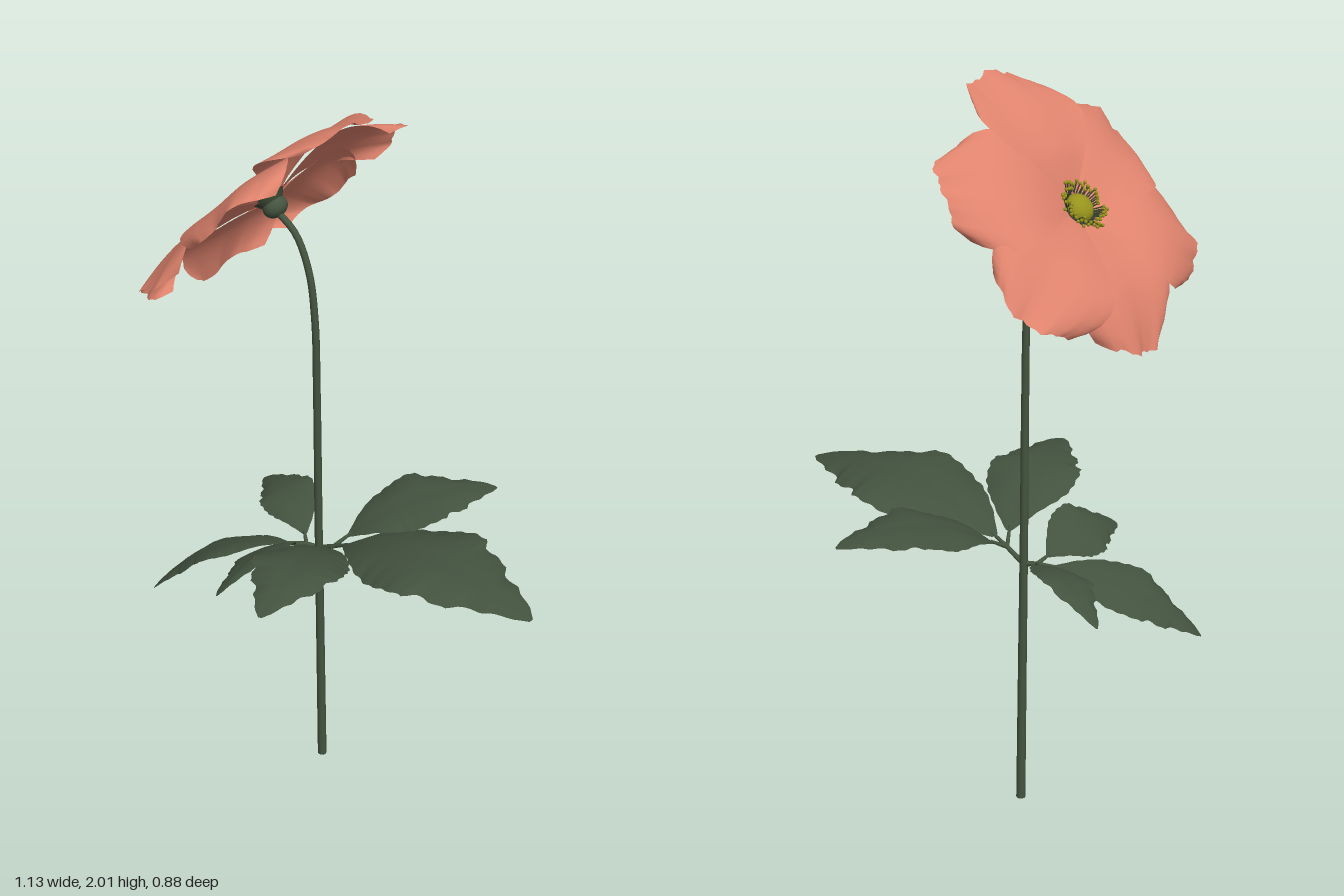
import * as THREE from 'three';
import { mergeGeometries } from 'three/addons/utils/BufferGeometryUtils.js';

const V = (x, y, z) => new THREE.Vector3(x, y, z);

function material(name, color, open = false) {
  const m = new THREE.MeshStandardMaterial({ color });
  m.name = name;
  if (open) m.side = THREE.DoubleSide;
  return m;
}

function mesh(name, geometry, mat) {
  const m = new THREE.Mesh(geometry, mat);
  m.name = name;
  return m;
}

// Linear lookup in a list of [t, value] pairs
function lookup(table, t) {
  for (let i = 1; i < table.length; i++) {
    const [t0, v0] = table[i - 1], [t1, v1] = table[i];
    if (t <= t1) return v0 + (v1 - v0) * (t - t0) / (t1 - t0);
  }
  return table[table.length - 1][1];
}

// Bends a flat grid by rule(s, t): s runs -1..1 across, t runs 0..1 along
function sheet(cols, rows, rule) {
  const g = new THREE.PlaneGeometry(2, 1, cols, rows);
  const p = g.attributes.position;
  for (let i = 0; i < p.count; i++) {
    const v = rule(p.getX(i), p.getY(i) + 0.5);
    p.setXYZ(i, v.x, v.y, v.z);
  }
  g.computeVertexNormals();
  return g;
}

// Tube that tapers from radius r0 to r1
function taperedTube(points, r0, r1, segments = 40) {
  const curve = new THREE.CatmullRomCurve3(points);
  const g = new THREE.TubeGeometry(curve, segments, 1, 10);
  const p = g.attributes.position, v = V(0, 0, 0);
  for (let i = 0; i < p.count; i++) {
    const t = Math.floor(i / 11) / segments;
    const c = curve.getPointAt(t);
    v.fromBufferAttribute(p, i).sub(c).multiplyScalar(r0 + (r1 - r0) * t).add(c);
    p.setXYZ(i, v.x, v.y, v.z);
  }
  return g;
}

const LEAF_WIDTH = [[0, 0.06], [0.1, 0.36], [0.25, 0.74], [0.38, 0.94], [0.5, 1], [0.59, 0.98], [0.62, 0.79],
  [0.68, 0.78], [0.75, 0.7], [0.78, 0.5], [0.86, 0.43], [0.89, 0.33], [0.96, 0.19], [1, 0.04]];
const PETAL_WIDTH = [[0, 0.012], [0.15, 0.042], [0.3, 0.092], [0.45, 0.138], [0.58, 0.163], [0.7, 0.17],
  [0.82, 0.163], [0.92, 0.146], [1, 0.122]];

// Toothed leaflet along a bent midrib, rolled about it by an angle in degrees
function leafGeometry(base, bend, tip, halfWidth, roll) {
  const rib = new THREE.QuadraticBezierCurve3(base, bend, tip);
  const up = V(0, 1, 0);
  return sheet(12, 80, (s, t) => {
    const forward = rib.getTangent(t);
    const side = forward.clone().cross(up).normalize().applyAxisAngle(forward, THREE.MathUtils.degToRad(roll));
    const normal = side.clone().cross(forward);
    const w = halfWidth * lookup(LEAF_WIDTH, t) * (1 + 0.02 * Math.sin(t * 75));
    const lift = halfWidth * (0.1 * Math.abs(s) - 0.22 * s * s + 0.05 * Math.sin(t * 14) * s * s) * Math.sin(Math.PI * t);
    return rib.getPoint(t).addScaledVector(side, s * w).addScaledVector(normal, lift);
  });
}

// Petal along +x, with a crowned midline, drooping tip, cupped sides and ruffled rim
function petalGeometry(length, lift, cup, phase) {
  return sheet(20, 28, (s, t) => {
    const rim = t ** 5 * (0.006 * Math.sin(s * 9 + phase) + 0.004 * Math.sin(s * 21 + phase * 2));
    const x = length * t * (1 - 0.12 * s ** 4 * t - 0.07 * s * s * t) + rim;
    const arch = 0.05 * Math.sin(Math.PI * t) - 0.012 * t ** 4;
    const ruffle = 0.011 * t * t * Math.sin(s * 4 + phase) * (1 - 0.5 * s * s);
    const y = arch + ruffle + cup * s * s * t * t + lift * Math.min(1, t * 3);
    return V(x, y, s * lookup(PETAL_WIDTH, t));
  });
}

export function createModel() {
  const model = new THREE.Group();
  model.name = 'flower';
  const stemGreen = material('stem green', 0x44543f);
  const leafGreen = material('leaf green', 0x43523f, true);
  const coral = material('petal coral', 0xdf836d, true);
  const darkGreen = material('filament green', 0x3a4632);
  const yellow = material('pollen yellow', 0x97931c);

  // Stem, nodding at the top
  model.add(mesh('stem', taperedTube([V(-0.162, 0, -0.06), V(-0.158, 0.4, -0.052), V(-0.155, 0.8, -0.045),
    V(-0.15, 1.2, -0.037), V(-0.151, 1.42, -0.033), V(-0.168, 1.55, -0.032), V(-0.21, 1.645, -0.031),
    V(-0.285, 1.7, -0.03)], 0.0125, 0.009, 80), stemGreen));
  const foot = mesh('stemEnd', new THREE.CircleGeometry(0.0125, 10).rotateX(Math.PI / 2), stemGreen);
  foot.position.set(-0.162, 0.0005, -0.06);
  model.add(foot);

  // Two compound leaves of three leaflets each, joined to the stem by stalks
  const node = V(-0.155, 0.715, -0.046);
  const leaves = [
    { name: 'largeLeaf', joint: V(-0.1, 0.745, -0.042), leaflets: [
      [V(-0.06, 0.765, -0.04), V(0.2, 0.925, -0.03), V(0.565, 0.81, -0.01), 0.178, 0],
      [V(-0.08, 0.768, -0.08), V(0.02, 0.91, -0.22), V(0.15, 0.835, -0.44), 0.125, 0],
      [V(-0.075, 0.768, 0), V(-0.02, 0.91, 0.18), V(0.045, 0.835, 0.432), 0.125, 0]] },
    { name: 'smallLeaf', joint: V(-0.19, 0.72, -0.035), leaflets: [
      [V(-0.23, 0.715, -0.015), V(-0.45, 0.72, 0.06), V(-0.565, 0.53, 0.18), 0.095, 15],
      [V(-0.215, 0.728, -0.06), V(-0.33, 0.83, -0.13), V(-0.5, 0.72, -0.225), 0.08, -18],
      [V(-0.2, 0.73, 0), V(-0.23, 0.81, 0.12), V(-0.225, 0.71, 0.295), 0.085, 32]] },
  ];
  for (const { name, joint, leaflets } of leaves) {
    const leaf = new THREE.Group();
    leaf.name = name;
    leaf.add(mesh('leafStalk', taperedTube([node, joint], 0.008, 0.006, 6), stemGreen));
    for (const [base, bend, tip, halfWidth, roll] of leaflets) {
      leaf.add(mesh('leafletStalk', taperedTube([joint, base.clone().lerp(bend, 0.05)], 0.006, 0.004, 6), stemGreen));
      leaf.add(mesh('leaflet', leafGeometry(base, bend, tip, halfWidth, roll), leafGreen));
    }
    model.add(leaf);
  }

  // Flower head, tilted back toward the right
  const head = new THREE.Group();
  head.name = 'flowerHead';
  head.position.set(-0.288, 1.71, -0.033);
  head.rotation.z = Math.PI / 4;
  model.add(head);

  // Six overlapping petals: the upper one on top, the lower one underneath
  const petals = [[-3, 0.402, 0.012, 0.018], [60, 0.395, -0.004, -0.014], [117, 0.395, -0.012, -0.016],
    [171, 0.378, -0.02, -0.012], [-121, 0.4, -0.012, -0.016], [-62, 0.395, -0.004, -0.014]];
  petals.forEach(([degrees, length, lift, cup], i) => {
    const petal = mesh('petal', petalGeometry(length, lift, cup, 0.8 + i * 1.7), coral);
    petal.rotation.y = THREE.MathUtils.degToRad(degrees);
    head.add(petal);
  });

  // Green cup behind the petals
  const calyx = mesh('calyx', new THREE.SphereGeometry(0.034, 20, 14), stemGreen);
  calyx.scale.y = 0.8;
  calyx.position.y = -0.016;
  head.add(calyx);

  // Domed centre, sunk between the petals
  const dome = mesh('centre', new THREE.SphereGeometry(0.038, 24, 16), yellow);
  dome.scale.y = 0.75;
  dome.position.y = 0.016;
  head.add(dome);
  const disc = mesh('centreBase', new THREE.CylinderGeometry(0.046, 0.03, 0.02, 24), darkGreen);
  disc.position.y = 0.006;
  head.add(disc);

  // Ring of stamens: thin filaments with pollen tips
  const filaments = [], anthers = [];
  for (let i = 0; i < 60; i++) {
    const a = i * 2.39996;
    const r = 0.048 + 0.02 * ((i * 7) % 10) / 9;
    const end = V(Math.cos(a) * r, 0.032 + 0.005 * (i % 3), Math.sin(a) * r);
    const start = V(Math.cos(a) * 0.03, 0.006, Math.sin(a) * 0.03);
    filaments.push(new THREE.TubeGeometry(new THREE.LineCurve3(start, end), 1, 0.0018, 5));
    anthers.push(new THREE.SphereGeometry(0.0046, 6, 5).translate(end.x, end.y, end.z));
  }
  head.add(mesh('filaments', mergeGeometries(filaments), darkGreen));
  head.add(mesh('anthers', mergeGeometries(anthers), yellow));
  return model;
}
